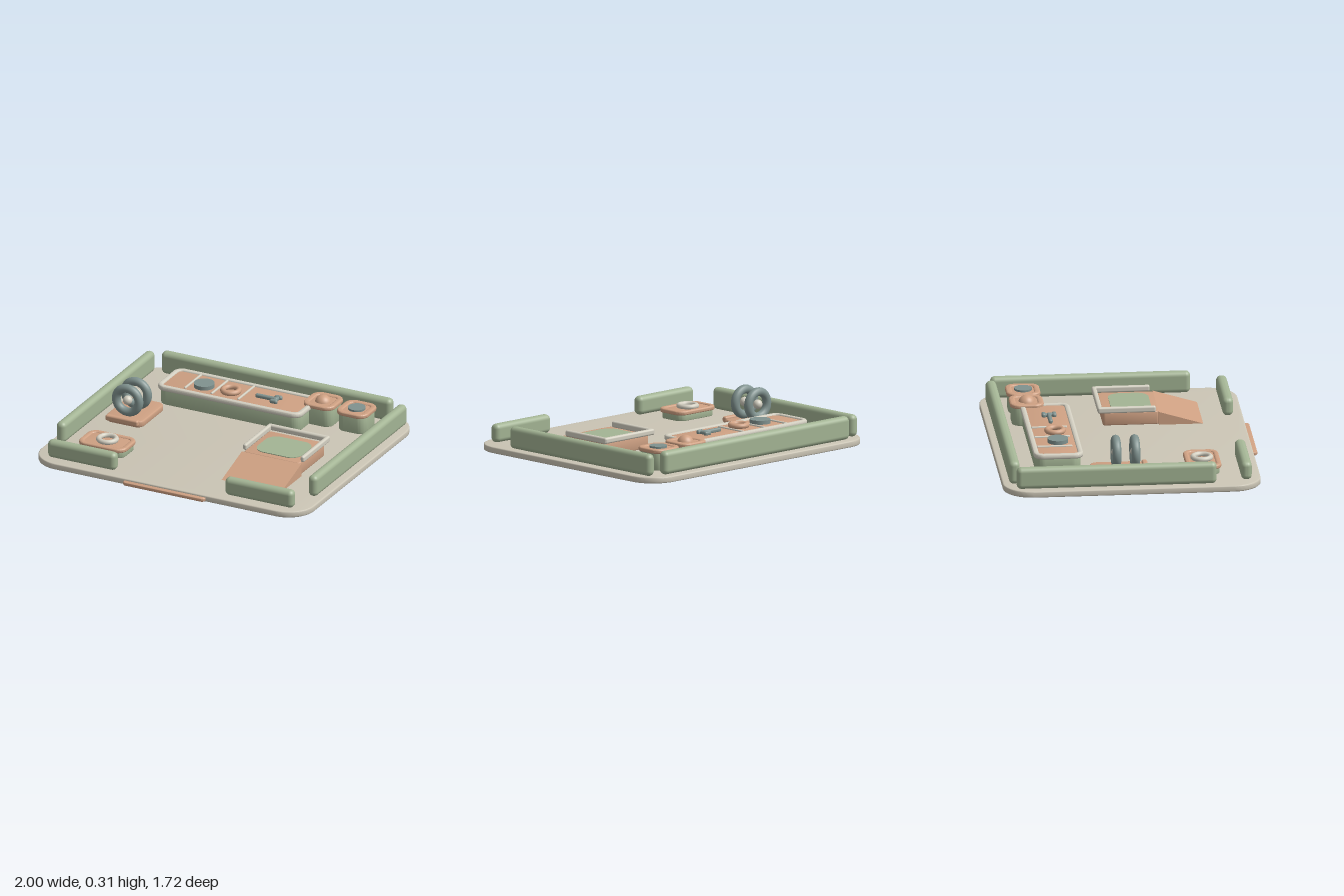
import * as THREE from 'three';
import { toCreasedNormals } from 'three/addons/utils/BufferGeometryUtils.js';
import { RoundedBoxGeometry } from 'three/addons/geometries/RoundedBoxGeometry.js';

const flat = (name, color) => {
  const m = new THREE.MeshStandardMaterial({ color });
  m.name = name;
  return m;
};

function roundedRect(path, w, d, r) {
  const x = w / 2, y = d / 2;
  path.moveTo(-x + r, -y);
  path.lineTo(x - r, -y).absarc(x - r, -y + r, r, -Math.PI / 2, 0);
  path.lineTo(x, y - r).absarc(x - r, y - r, r, 0, Math.PI / 2);
  path.lineTo(-x + r, y).absarc(-x + r, y - r, r, Math.PI / 2, Math.PI);
  path.lineTo(-x, -y + r).absarc(-x + r, -y + r, r, Math.PI, Math.PI * 1.5);
  return path;
}

// Upright rounded slab, from y = 0 to h; rim > 0 cuts it into a frame
function slabGeometry(w, d, h, r, bevel, rim = 0) {
  const shape = roundedRect(new THREE.Shape(), w, d, r);
  if (rim) shape.holes.push(roundedRect(new THREE.Path(), w - 2 * rim, d - 2 * rim, Math.max(r - rim, 0.02)));
  const g = new THREE.ExtrudeGeometry(shape, {
    depth: h - 2 * bevel, curveSegments: 10, bevelEnabled: bevel > 0,
    bevelThickness: bevel, bevelSize: bevel, bevelOffset: -bevel, bevelSegments: 3,
  });
  g.translate(0, 0, bevel).rotateX(-Math.PI / 2);
  return toCreasedNormals(g, 0.7);
}

export function createModel() {
  const root = new THREE.Group();
  root.name = 'playroomFloor';
  const stone = flat('stone', 0xcbc5b5);
  const clay = flat('clay', 0xcfa183);
  const sage = flat('sage', 0xa3b494);
  const slate = flat('slate', 0x80928f);
  const cream = flat('cream', 0xd3cfc1);

  const add = (name, geometry, material, x = 0, y = 0, z = 0) => {
    const m = new THREE.Mesh(geometry, material);
    m.name = name;
    m.position.set(x, y, z);
    root.add(m);
    return m;
  };
  // Helpers that take the limits of a part
  const slab = (name, mat, [x0, x1], [y0, y1], [z0, z1], r, bevel, rim) =>
    add(name, slabGeometry(x1 - x0, z1 - z0, y1 - y0, r, bevel, rim), mat, (x0 + x1) / 2, y0, (z0 + z1) / 2);
  const block = (name, mat, [x0, x1], [y0, y1], [z0, z1], r) =>
    add(name, new RoundedBoxGeometry(x1 - x0, y1 - y0, z1 - z0, 4, r), mat, (x0 + x1) / 2, (y0 + y1) / 2, (z0 + z1) / 2);
  const disk = (name, mat, x, y, z, r, h) => add(name, new THREE.CylinderGeometry(r, r, h, 32), mat, x, y, z);
  const ring = (name, mat, x, y, z, R, t) => {
    const g = new THREE.TorusGeometry(R, t, 14, 36);
    return add(name, g.rotateX(Math.PI / 2), mat, x, y, z);
  };

  // Floor plate and entrance strip
  slab('floorPlate', stone, [-1, 1], [0, 0.042], [-0.86, 0.828], 0.19, 0.008);
  slab('entranceStrip', clay, [-0.3, 0.3], [0.006, 0.03], [0.74, 0.857], 0.025, 0.005);

  // Padded walls
  block('backWall', sage, [-0.845, 0.842], [0.042, 0.197], [-0.82, -0.75], 0.032);
  for (const s of [1, -1]) {
    const span = (a, b) => (s > 0 ? [a, b] : [-b, -a]);
    block('sideWall', sage, span(0.89, 0.957), [0.042, 0.188], [-0.78, 0.53], 0.032);
    block('frontWall', sage, span(0.4, 0.9), [0.042, 0.165], [0.695, 0.765], 0.032);
  }

  // Long activity counter
  slab('counterBody', sage, [-0.645, 0.38], [0.042, 0.15], [-0.625, -0.33], 0.06, 0.006);
  slab('counterRim', cream, [-0.66, 0.395], [0.143, 0.178], [-0.638, -0.313], 0.065, 0.012, 0.036);
  slab('counterTop', clay, [-0.635, 0.37], [0.15, 0.168], [-0.615, -0.338], 0.045, 0.003);
  for (const x of [-0.47, -0.275, -0.08])
    block('counterDivider', cream, [x - 0.008, x + 0.008], [0.16, 0.178], [-0.605, -0.37], 0.007);
  disk('counterDisk', slate, -0.372, 0.178, -0.458, 0.068, 0.032);
  ring('counterRing', clay, -0.176, 0.182, -0.458, 0.053, 0.018);
  block('toolHandle', slate, [0, 0.16], [0.163, 0.193], [-0.482, -0.455], 0.012);
  block('toolCrossbar', slate, [0.135, 0.163], [0.163, 0.19], [-0.51, -0.425], 0.012);
  for (const z of [-0.502, -0.433])
    block('toolProng', slate, [0.123, 0.177], [0.163, 0.193], [z - 0.014, z + 0.014], 0.012);

  // Low pedestals with a framed top
  function pedestal(name, xs, zs, top, r, rim) {
    const inset = ([a, b], k) => [a + k, b - k];
    slab(name + 'Body', sage, inset(xs, 0.012), [0.042, top - 0.025], inset(zs, 0.012), r - 0.01, 0.004);
    slab(name + 'Top', clay, xs, [top - 0.028, top - 0.007], zs, r, 0.007);
    slab(name + 'Frame', clay, xs, [top - 0.025, top], zs, r, 0.009, rim);
  }
  pedestal('ballPedestal', [0.322, 0.545], [-0.7, -0.478], 0.188, 0.065, 0.04);
  add('ball', new THREE.SphereGeometry(0.055, 28, 18), clay, 0.433, 0.166, -0.587);
  pedestal('diskPedestal', [0.566, 0.79], [-0.7, -0.478], 0.182, 0.065, 0.04);
  disk('pedestalDisk', slate, 0.68, 0.178, -0.587, 0.058, 0.02);
  pedestal('ringPedestal', [-0.78, -0.436], [0.35, 0.58], 0.11, 0.065, 0.035);
  ring('pedestalRing', cream, -0.608, 0.115, 0.462, 0.058, 0.017);

  // Wheel stand with two upright wheels
  slab('wheelStand', clay, [-0.825, -0.558], [0.042, 0.085], [-0.27, 0.08], 0.05, 0.008);
  block('wheelStandLip', clay, [-0.81, -0.573], [0.06, 0.1], [0.07, 0.106], 0.012);
  for (const z of [-0.108, 0.016]) {
    add('wheel', new THREE.TorusGeometry(0.083, 0.029, 16, 40), slate, -0.69, 0.195, z);
    add('wheelHub', new THREE.SphereGeometry(0.031, 20, 14), cream, -0.69, 0.195, z);
  }

  // Raised platform with pad, rails and ramp
  slab('platform', clay, [0.29, 0.698], [0.042, 0.132], [-0.1, 0.268], 0.02, 0.006);
  slab('platformPad', sage, [0.333, 0.66], [0.13, 0.137], [-0.04, 0.225], 0.08, 0);
  for (const x of [0.284, 0.706])
    block('sideRail', cream, [x - 0.014, x + 0.014], [0.13, 0.172], [-0.135, 0.245], 0.012);
  block('backRail', cream, [0.272, 0.718], [0.132, 0.172], [-0.137, -0.105], 0.013);
  const wedge = new THREE.Shape([[-0.265, 0.042], [-0.265, 0.13], [-0.555, 0.042]].map(([x, y]) => new THREE.Vector2(x, y)));
  const ramp = new THREE.ExtrudeGeometry(wedge, { depth: 0.436, bevelEnabled: false });
  add('ramp', ramp.rotateY(Math.PI / 2), clay, 0.276, 0, 0);

  return root;
}
